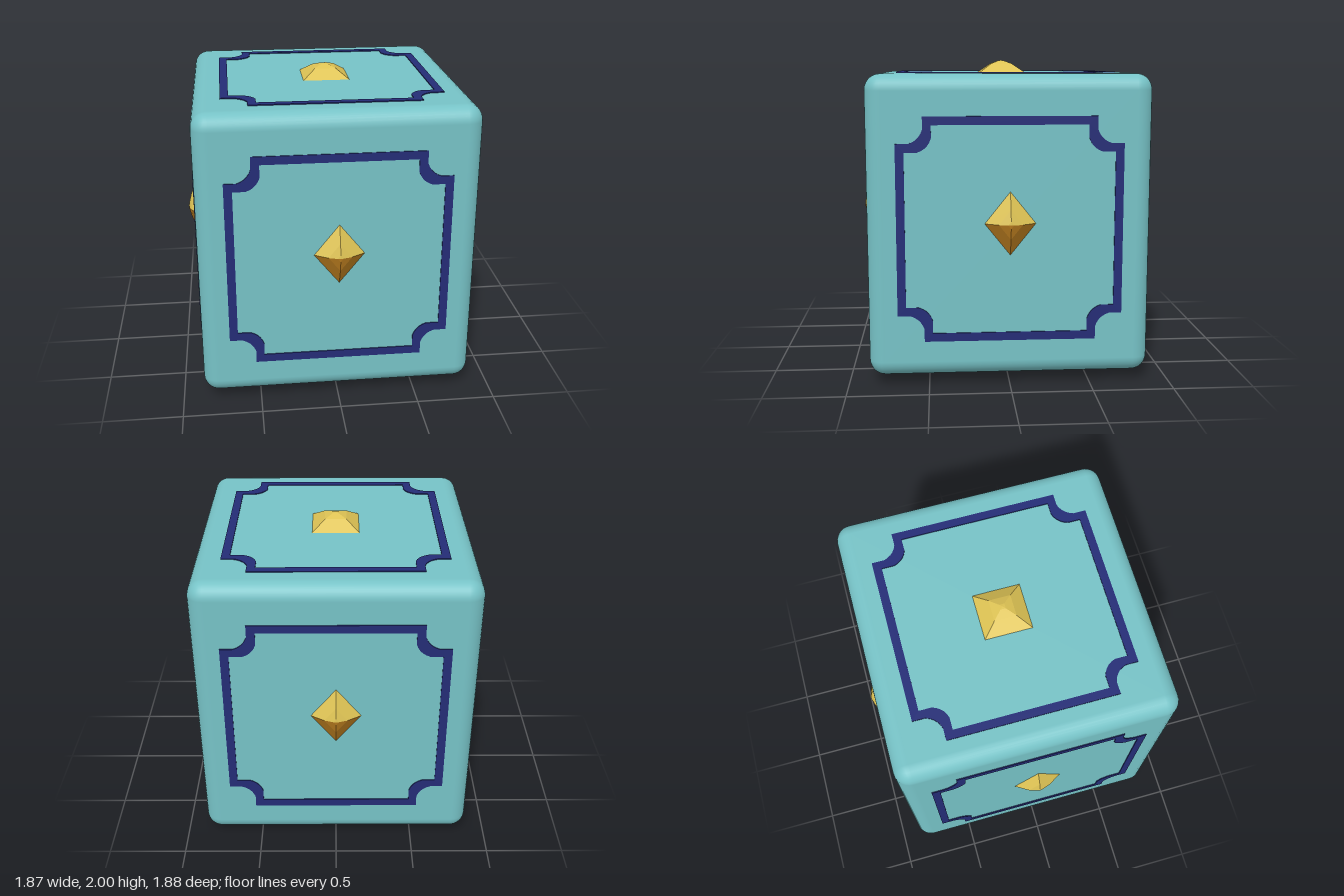
import * as THREE from 'three';
import { RoundedBoxGeometry } from 'three/addons/geometries/RoundedBoxGeometry.js';

const mat = (name, color) => {
  const m = new THREE.MeshStandardMaterial({ color });
  m.name = name;
  return m;
};

const CENTRE_Y = 0.99;

export function createModel() {
  const teal = mat('teal', 0x76c2c6);
  const navy = mat('navy', 0x242c76);
  const gold = mat('gold', 0xdec354);
  const amber = mat('amber', 0xb67a1e);
  gold.flatShading = amber.flatShading = true;

  const model = new THREE.Group();
  model.name = 'ornateCube';

  const add = (parent, name, geometry, material) => {
    const mesh = new THREE.Mesh(geometry, material);
    mesh.name = name;
    parent.add(mesh);
    return mesh;
  };

  // Rounded cube body, slightly taller than wide
  const body = add(model, 'body', new RoundedBoxGeometry(1.73, 1.86, 1.74, 4, 0.1), teal);
  body.position.y = CENTRE_Y;

  // Square outline with scooped corners, repeated by quarter turns
  const outline = (grow) => {
    const edge = 0.663 + grow, notch = 0.5 + grow;
    const scoop = new THREE.QuadraticBezierCurve(
      new THREE.Vector2(0.585 + grow, notch),
      new THREE.Vector2(notch + 0.02, notch + 0.02),
      new THREE.Vector2(notch, 0.585 + grow)
    ).getPoints(5);
    const corner = [new THREE.Vector2(edge, notch), ...scoop, new THREE.Vector2(notch, edge)];
    const points = [];
    for (let k = 0; k < 4; k++) {
      const c = [1, 0, -1, 0][k], s = [0, 1, 0, -1][k];
      for (const p of corner) points.push(new THREE.Vector2(c * p.x - s * p.y, s * p.x + c * p.y));
    }
    return points;
  };
  const frameShape = new THREE.Shape(outline(0.026));
  frameShape.holes.push(new THREE.Path(outline(-0.026).reverse()));
  const frameGeometry = new THREE.ExtrudeGeometry(frameShape, { depth: 0.006, bevelEnabled: false });

  // Faceted gem standing out along +z; start and length pick its sectors
  const gemGeometry = (radius, height, start, length, sides) => {
    const profile = [[1, -0.01], [0.42, height * 0.72], [0.1, height * 0.97], [0, height]]
      .map(([r, h]) => new THREE.Vector2(r * radius, h));
    return new THREE.LatheGeometry(profile, sides, start, length).rotateX(Math.PI / 2);
  };

  const makeFace = (name, x, y, z, rx, ry) => {
    const face = new THREE.Group();
    face.name = name;
    face.position.set(x, y, z);
    face.rotation.set(rx, ry, 0);
    model.add(face);
    return face;
  };

  // Four upright faces, each with a frame and a two-tone diamond gem
  const upright = [
    ['front', 0, 0.87, 0],
    ['left', 0.865, 0, Math.PI / 2],
    ['back', 0, -0.87, Math.PI],
    ['right', -0.865, 0, -Math.PI / 2],
  ];
  for (const [side, x, z, turn] of upright) {
    const face = makeFace(side + 'Face', x, 0.98, z, 0, turn);
    add(face, side + 'Frame', frameGeometry, navy);
    const gem = new THREE.Group();
    gem.name = side + 'Gem';
    gem.position.y = 0.04;
    gem.scale.y = 1.25;
    face.add(gem);
    add(gem, 'gemUpperHalf', gemGeometry(0.172, 0.07, Math.PI / 2, Math.PI, 2), gold);
    add(gem, 'gemLowerHalf', gemGeometry(0.172, 0.07, -Math.PI / 2, Math.PI, 2), amber);
  }

  // Top and bottom faces carry square gems
  const squareGem = (height) =>
    gemGeometry(0.163 * Math.SQRT2, height, Math.PI / 4, Math.PI * 2, 4);
  const top = makeFace('topFace', 0, 1.92, 0, -Math.PI / 2, 0);
  add(top, 'topFrame', frameGeometry, navy);
  add(top, 'topGem', squareGem(0.08), gold);

  const bottom = makeFace('bottomFace', 0, 0.06, 0, Math.PI / 2, 0);
  add(bottom, 'bottomGem', squareGem(0.06), gold);

  // Broken frame underneath: separate strokes from point to point
  const strokes = [
    [-0.4, -0.68, 0.5, -0.68],
    [-0.4, -0.68, -0.28, -0.56],
    [-0.28, -0.56, -0.2, -0.34],
    [-0.68, -0.2, -0.62, 0.38],
    [0.68, -0.48, 0.68, 0.48],
    [-0.36, 0.68, 0.45, 0.68],
  ];
  for (const [x1, y1, x2, y2] of strokes) {
    const length = Math.hypot(x2 - x1, y2 - y1);
    const bar = add(bottom, 'bottomStroke', new THREE.BoxGeometry(length + 0.02, 0.045, 0.008), navy);
    bar.position.set((x1 + x2) / 2, (y1 + y2) / 2, 0.001);
    bar.rotation.z = Math.atan2(y2 - y1, x2 - x1);
  }

  return model;
}
